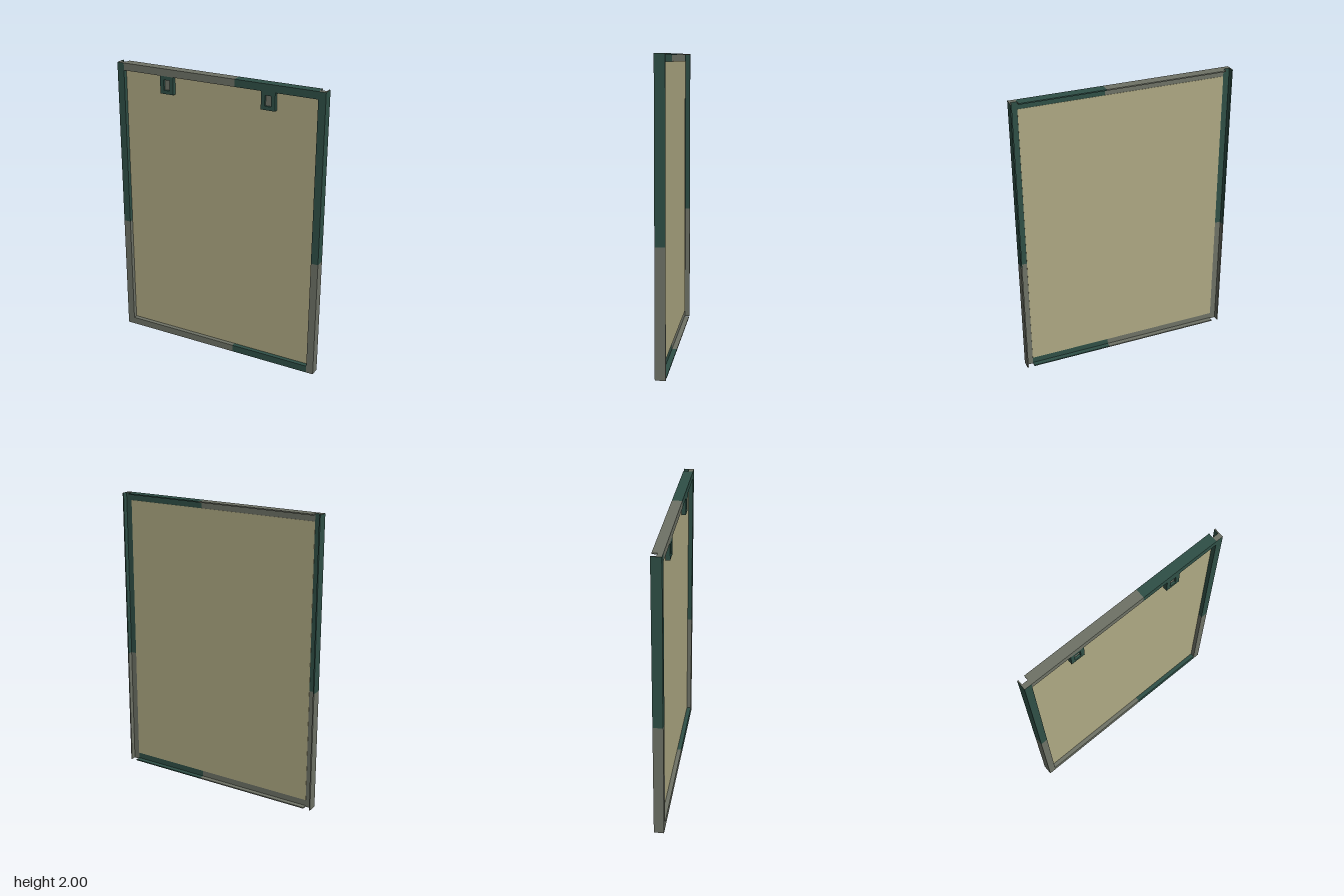
import * as THREE from 'three';

const W = 0.75, H = 1, BAR = 0.05, D = 0.034, WALL = 0.008;

export function createModel() {
  const material = (name, color) => {
    const m = new THREE.MeshStandardMaterial({ color });
    m.name = name;
    return m;
  };
  const green = material('dark green', 0x2f4f46);
  const grey = material('warm grey', 0x6e7266);
  const cream = material('khaki panel', 0xaea983);

  const model = new THREE.Group();
  model.name = 'framedPanel';
  const body = new THREE.Group();
  body.name = 'body';
  body.position.y = H;
  model.add(body);

  // Angle-section bar: front flange plus thin outer wall at the back.
  // It lies along x from t0 to t1, with its outer face at 'out', then turns about z.
  function bar(name, t0, t1, out, angle, color) {
    const inner = out - BAR, wall = out - WALL;
    const section = new THREE.Shape([
      [-D, inner], [0, inner], [0, wall], [D, wall], [D, out], [-D, out],
    ].map(([a, b]) => new THREE.Vector2(a, b)));
    const geo = new THREE.ExtrudeGeometry(section, { depth: t1 - t0, bevelEnabled: false });
    geo.rotateY(Math.PI / 2);
    geo.translate(t0, 0, 0);
    geo.rotateZ(angle);
    const mesh = new THREE.Mesh(geo, [grey, color]); // cut ends are grey
    mesh.name = name;
    body.add(mesh);
  }

  // Uprights run the full height, rails fit between them
  const inX = W - BAR, splitY = 0.16, splitX = 0.13, q = Math.PI / 2;
  bar('leftUprightUpper', -H, splitY, W, -q, green);
  bar('leftUprightLower', splitY, H, W, -q, grey);
  bar('rightUprightLower', -H, -splitY, W, q, grey);
  bar('rightUprightUpper', -splitY, H, W, q, green);
  bar('topRailRight', -inX, splitX, H, 0, grey);
  bar('topRailLeft', splitX, inX, H, 0, green);
  bar('bottomRailRight', -splitX, inX, H, 2 * q, grey);
  bar('bottomRailLeft', -inX, -splitX, H, 2 * q, green);

  // Flat panel at mid depth
  const panel = new THREE.Mesh(new THREE.BoxGeometry(2 * inX, 2 * (H - BAR), 0.006), cream);
  panel.name = 'panel';
  panel.position.z = 0.001;
  body.add(panel);

  // Hanger brackets: a slotted block with a grey slot floor
  const rect = (Type, w, h) => new Type([
    [-w, -h], [w, -h], [w, h], [-w, h],
  ].map(([x, y]) => new THREE.Vector2(x / 2, y / 2)));
  for (const [side, x] of [['left', 0.365], ['right', -0.37]]) {
    const bracket = new THREE.Group();
    bracket.name = side + 'Bracket';
    const shape = rect(THREE.Shape, 0.098, 0.12);
    shape.holes.push(rect(THREE.Path, 0.044, 0.07));
    const block = new THREE.Mesh(
      new THREE.ExtrudeGeometry(shape, { depth: 0.03, bevelEnabled: false }), green);
    block.name = 'slottedBlock';
    const floor = new THREE.Mesh(new THREE.BoxGeometry(0.044, 0.07, 0.015), grey);
    floor.name = 'slotFloor';
    floor.position.z = 0.0075;
    bracket.add(block, floor);
    bracket.position.set(x, 0.89, 0.003);
    body.add(bracket);
  }
  return model;
}
